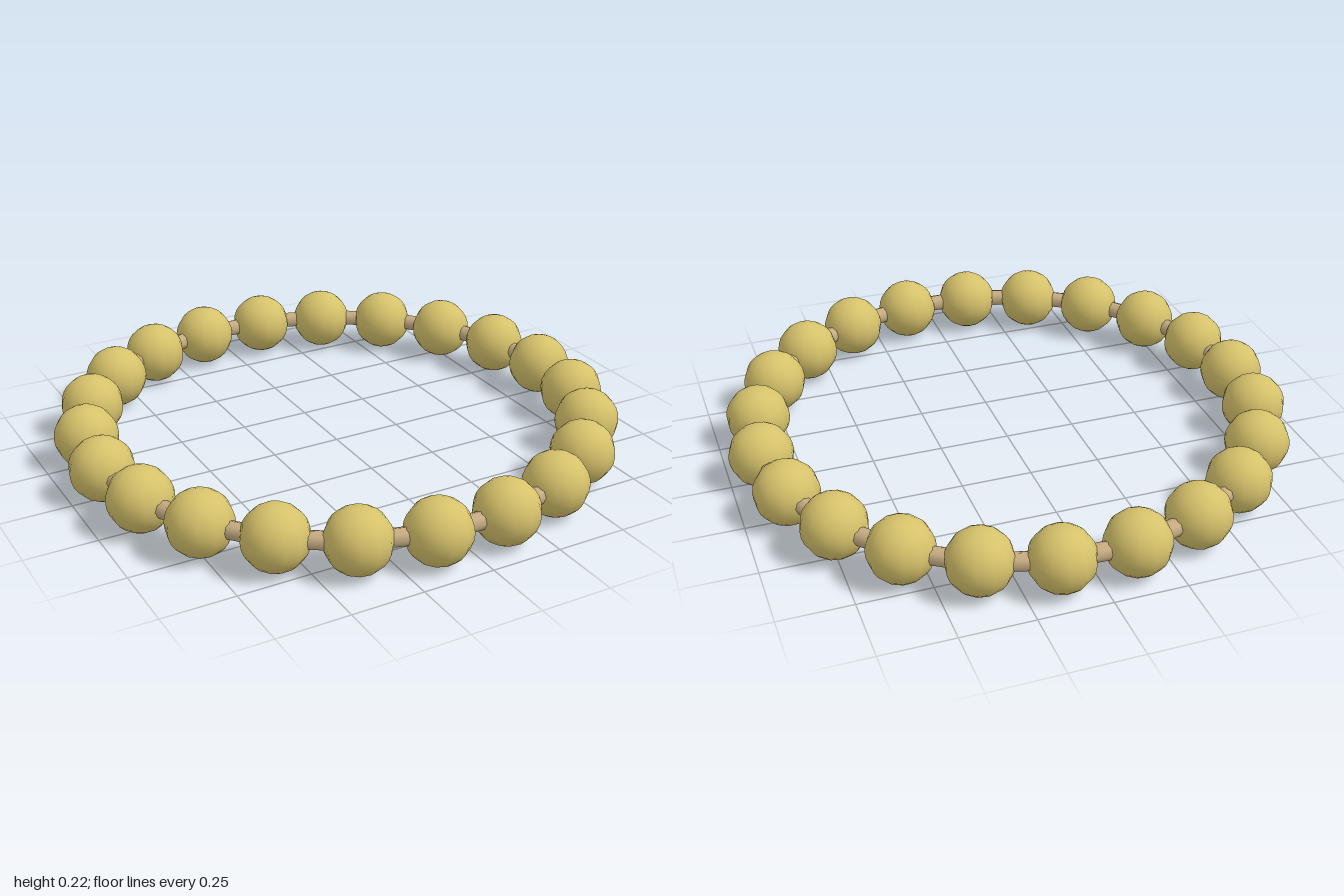
import * as THREE from 'three';

const BEADS = 22;
const RING_RADIUS = 0.887;
const BEAD_RADIUS = 0.112;
const CORD_RADIUS = 0.031;
const CENTRE_Y = 0.115;

export function createModel() {
  const model = new THREE.Group();
  model.name = 'beadedBracelet';

  const beadGold = new THREE.MeshStandardMaterial({ color: 0xd6c26b });
  beadGold.name = 'beadGold';
  const cordTan = new THREE.MeshStandardMaterial({ color: 0xc9ae84 });
  cordTan.name = 'cordTan';

  // Cord running through every bead
  const cord = new THREE.Mesh(
    new THREE.TorusGeometry(RING_RADIUS, CORD_RADIUS, 8, BEADS * 3).rotateX(Math.PI / 2),
    cordTan
  );
  cord.name = 'cord';
  cord.position.y = CENTRE_Y;
  model.add(cord);

  // Beads evenly spaced round the ring, each turned to face outwards
  const beadGeometry = new THREE.SphereGeometry(BEAD_RADIUS, 12, 14);
  for (let i = 0; i < BEADS; i++) {
    const angle = (i / BEADS) * Math.PI * 2;
    const bead = new THREE.Mesh(beadGeometry, beadGold);
    bead.name = `bead${i + 1}`;
    bead.position.set(Math.cos(angle) * RING_RADIUS, CENTRE_Y, Math.sin(angle) * RING_RADIUS);
    bead.rotation.y = -angle;
    model.add(bead);
  }

  return model;
}
